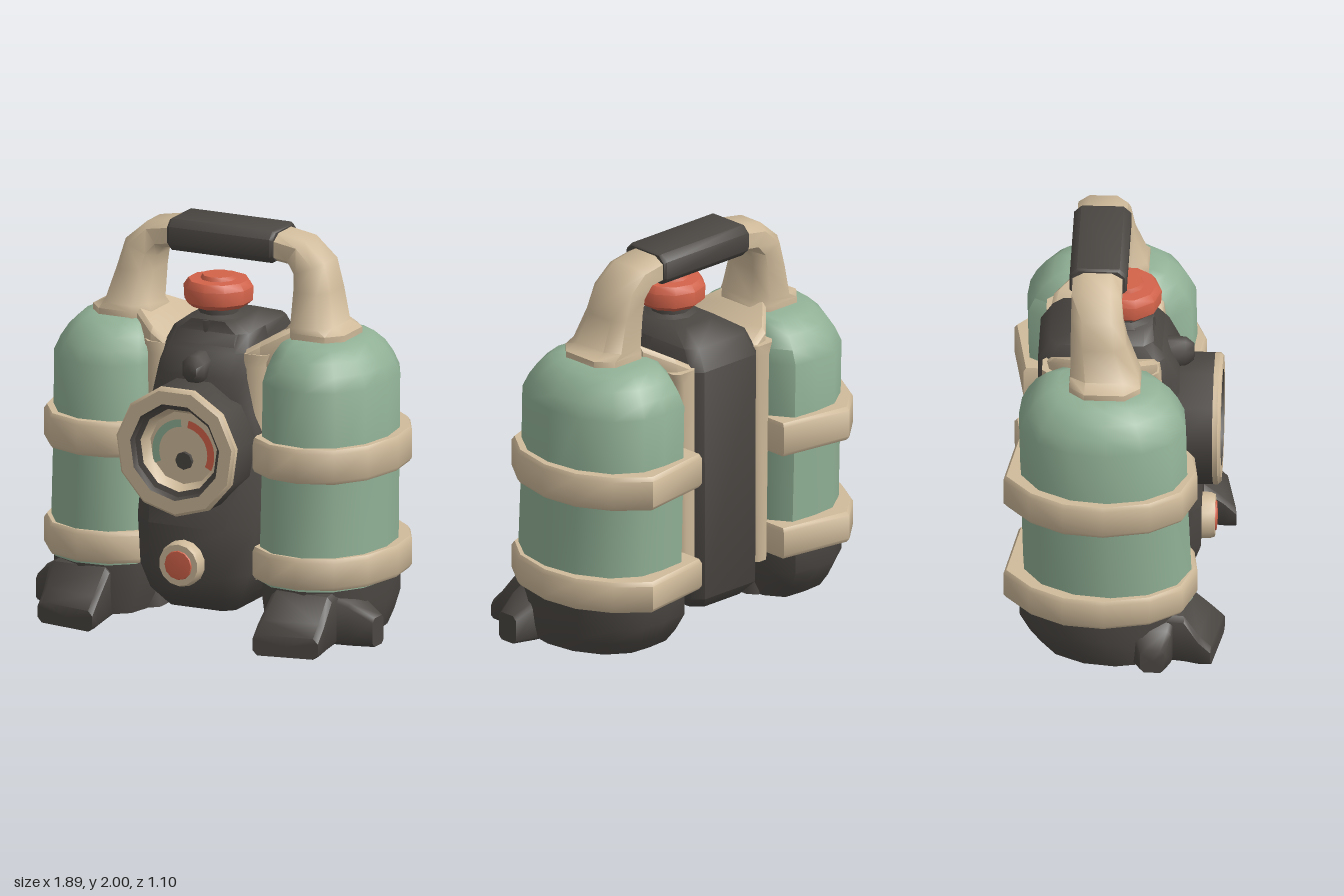
import * as THREE from 'three';
import { toCreasedNormals } from 'three/addons/utils/BufferGeometryUtils.js';

const V = (x, y, z) => new THREE.Vector3(x, y, z);
const mat = (name, color) => Object.assign(new THREE.MeshStandardMaterial({ color }), { name });

// Closed solid through equal-length rings of points, capped at both ends.
function loft(rings, crease = 0.85) {
  const n = rings[0].length, pos = [], idx = [];
  rings.forEach(r => r.forEach(p => pos.push(p.x, p.y, p.z)));
  for (let k = 0; k < rings.length - 1; k++)
    for (let i = 0; i < n; i++) {
      const a = k * n + i, b = k * n + (i + 1) % n;
      idx.push(a, b, a + n, b, b + n, a + n);
    }
  [0, rings.length - 1].forEach((k, e) => {
    const c = rings[k].reduce((s, p) => s.add(p), V(0, 0, 0)).divideScalar(n);
    const ci = pos.length / 3;
    pos.push(c.x, c.y, c.z);
    for (let i = 0; i < n; i++) {
      const a = k * n + i, b = k * n + (i + 1) % n;
      e ? idx.push(ci, a, b) : idx.push(ci, b, a);
    }
  });
  // Turn the faces outward when the enclosed volume comes out negative
  const at = i => V(pos[3 * i], pos[3 * i + 1], pos[3 * i + 2]);
  let vol = 0;
  for (let i = 0; i < idx.length; i += 3) vol += at(idx[i]).dot(at(idx[i + 1]).cross(at(idx[i + 2])));
  if (vol < 0) idx.reverse();
  const g = new THREE.BufferGeometry();
  g.setAttribute('position', new THREE.Float32BufferAttribute(pos, 3));
  g.setIndex(idx);
  return toCreasedNormals(g, crease);
}

// Chamfered rectangle as [u, v] pairs
function octagon(u0, u1, v0, v1, c) {
  return [[u0 + c, v0], [u1 - c, v0], [u1, v0 + c], [u1, v1 - c],
    [u1 - c, v1], [u0 + c, v1], [u0, v1 - c], [u0, v0 + c]];
}
// Stacked chamfered rectangles: rows of [y, halfWidth, zBack, zFront, chamfer]
const stack = rows => loft(rows.map(([y, h, z0, z1, c]) =>
  octagon(-h, h, z0, z1, c).map(([x, z]) => V(x, y, z))));
// Outline scaled about a pivot at each level: rows of [y, scale, shift in z]
const column = (outline, s, rows, px = 0.5, pz = -0.07) => loft(rows.map(([y, k, dz = 0]) =>
  outline.map(([x, z]) => V(s * (px + (x - px) * k), y, pz + (z - pz) * k + dz))));

const TANK = [[0.31, -0.36], [0.38, -0.47], [0.52, -0.48], [0.65, -0.47], [0.78, -0.38], [0.865, -0.22],
  [0.89, -0.04], [0.855, 0.14], [0.76, 0.28], [0.62, 0.345], [0.45, 0.33], [0.34, 0.24], [0.31, 0.1]];
const BAND = [[0.28, -0.49], [0.67, -0.55], [0.82, -0.42], [0.915, -0.25], [0.94, -0.05],
  [0.89, 0.18], [0.78, 0.335], [0.6, 0.4], [0.44, 0.38], [0.31, 0.29], [0.28, 0.1]];
// Handle sections: outer x, y, inner x, y, back z, front z
const HANDLE = [[0.69, 1.48, 0.37, 1.48, -0.23, 0.12], [0.69, 1.53, 0.37, 1.53, -0.23, 0.12],
  [0.625, 1.56, 0.39, 1.555, -0.225, 0.11], [0.585, 1.72, 0.384, 1.72, -0.225, 0.05],
  [0.545, 1.86, 0.376, 1.79, -0.225, 0.03], [0.43, 1.96, 0.345, 1.835, -0.225, 0.02],
  [0.26, 1.99, 0.26, 1.845, -0.225, 0.02]];

export function createModel() {
  const root = new THREE.Group();
  root.name = 'twinTankPack';
  const beige = mat('beige', 0xcfba9a), green = mat('sageGreen', 0x90b095);
  const dark = mat('charcoal', 0x4b4743), red = mat('coralRed', 0xd3634a);
  const add = (name, geo, m, parent = root) => {
    const mesh = new THREE.Mesh(geo, m);
    mesh.name = name;
    parent.add(mesh);
    return mesh;
  };
  const lathe = (pts, seg) => toCreasedNormals(
    new THREE.LatheGeometry(pts.map(p => new THREE.Vector2(...p)), seg), 0.75);

  // Central body: spine at the back, wider housing at the front
  add('spine', stack([[0.13, 0.17, -0.34, 0.1, 0.05], [0.2, 0.22, -0.4, 0.2, 0.05],
    [1.4, 0.225, -0.4, 0.24, 0.05], [1.5, 0.205, -0.34, 0.17, 0.05], [1.555, 0.13, -0.18, 0.16, 0.04]]), dark);
  add('frontHousing', stack([[0.12, 0.19, -0.2, 0.28, 0.05], [0.2, 0.25, -0.22, 0.36, 0.07],
    [0.32, 0.3, -0.22, 0.4, 0.1], [0.56, 0.325, -0.2, 0.4, 0.12], [0.7, 0.33, -0.1, 0.34, 0.1],
    [1.0, 0.32, -0.1, 0.3, 0.07], [1.15, 0.275, -0.1, 0.3, 0.07], [1.3, 0.24, -0.1, 0.29, 0.06],
    [1.42, 0.23, -0.1, 0.23, 0.05], [1.5, 0.205, -0.1, 0.16, 0.04]]), dark);
  add('frontNub', loft([[0.2, 0.062, 1.24, 1.42], [0.32, 0.06, 1.27, 1.41], [0.36, 0.035, 1.3, 1.38]]
    .map(([z, h, y0, y1]) => octagon(-h, h, y0, y1, h * 0.6).map(([x, y]) => V(x, y, z))), 1.0), dark);

  // Valve on top
  const valve = new THREE.Group();
  valve.name = 'valve';
  valve.position.set(-0.008, 0, 0.028);
  root.add(valve);
  add('valveNeck', lathe([[0.15, 1.46], [0.14, 1.55], [0.1, 1.57], [0.095, 1.63]], 10), dark, valve);
  add('valveKnob', lathe([[0, 1.605], [0.14, 1.605], [0.17, 1.63], [0.174, 1.7], [0.15, 1.735],
    [0.09, 1.737], [0.08, 1.757], [0, 1.757]], 10), red, valve);

  // Gauge facing forward
  const gauge = new THREE.Group();
  gauge.name = 'gauge';
  gauge.position.set(-0.012, 0.962, 0);
  root.add(gauge);
  const rings = [
    ['gaugeCollar', [[0.31, 0.2], [0.33, 0.28], [0.33, 0.46]], dark],
    ['gaugeRim', [[0.33, 0.46], [0.33, 0.485], [0.315, 0.5], [0.247, 0.5]], beige],
    ['gaugeInnerRing', [[0.247, 0.5], [0.237, 0.465], [0.212, 0.455]], dark],
    ['gaugeDish', [[0.212, 0.455], [0.185, 0.4], [0, 0.4]], beige]];
  for (const [name, pts, m] of rings) add(name, lathe(pts, 11).rotateX(Math.PI / 2), m, gauge);
  const arc = (name, start, length, m) =>
    add(name, new THREE.RingGeometry(0.132, 0.17, 16, 1, start, length), m, gauge).position.set(0, -0.025, 0.406);
  arc('greenArc', 1.65, 1.9, green);
  arc('redArc', -0.45, 1.85, red);
  add('gaugeHub', new THREE.CylinderGeometry(0.045, 0.045, 0.02, 8).rotateX(Math.PI / 2), dark, gauge)
    .position.set(0.008, -0.062, 0.41);

  // Button below the gauge
  const button = new THREE.Group();
  button.name = 'button';
  button.position.set(-0.01, 0.38, 0);
  root.add(button);
  add('buttonRing', lathe([[0.115, 0.36], [0.115, 0.44], [0.105, 0.465], [0, 0.465]], 14).rotateX(Math.PI / 2), beige, button);
  add('buttonCap', lathe([[0.077, 0.46], [0.072, 0.472], [0, 0.478]], 12).rotateX(Math.PI / 2), red, button);

  // Grip across the handle
  add('grip', loft([-0.29, -0.275, 0.275, 0.29].map((x, i) => {
    const d = i % 3 ? 0 : 0.008;
    return octagon(1.84 + d, 2 - d, -0.24 + d, 0.04 - d, 0.035).map(([y, z]) => V(x, y, z));
  })), dark);

  for (const s of [1, -1]) {
    const side = new THREE.Group();
    side.name = s > 0 ? 'leftSide' : 'rightSide';
    root.add(side);

    // Tank leaning slightly forward at the bottom, with rounded shoulder and two straps
    add('tank', column(TANK, s, [[0.3, 1.01, 0.03], [0.85, 1, 0.01], [1.3, 1], [1.37, 0.92], [1.43, 0.82],
      [1.48, 0.68], [1.5, 0.52]]), green, side);
    for (const [y0, y1] of [[0.31, 0.47], [0.85, 1.025]])
      add('strap', column(BAND, s, [[y0, 0.97], [y0 + 0.02, 1], [y1 - 0.02, 1], [y1, 0.97]]), beige, side);

    // Trim plate between tank and body, with a shoulder sloping up to the handle
    add('trimPlate', loft([[0.28, 0.3], [1.36, 0.32], [1.42, 0.34]].map(([y, x1], i) =>
      octagon(0.19, x1, -0.375, 0.22 - i * 0.01, 0.03).map(([x, z]) => V(s * x, y, z)))), beige, side);
    add('handleShoulder', loft([[0.2, 1.3, 1.425, -0.36, 0.2], [0.3, 1.34, 1.485, -0.34, 0.19],
      [0.42, 1.4, 1.55, -0.22, 0.1]].map(([x, y0, y1, z0, z1]) =>
      octagon(y0, y1, z0, z1, 0.025).map(([y, z]) => V(s * x, y, z)))), beige, side);

    // Curved handle post
    add('handlePost', loft(HANDLE.map(([ox, oy, ix, iy, z0, z1]) =>
      octagon(0, 1, 0, 1, 0.22).map(([u, v]) =>
        V(s * (ix + (ox - ix) * u), iy + (oy - iy) * u, z0 + (z1 - z0) * v))), 1.0), beige, side);

    // Foot with forward toe
    add('footBase', column(TANK, s, [[0.04, 0.87, 0.05], [0.11, 0.94, 0.025], [0.2, 1], [0.34, 1]], 0.6), dark, side);
    const [t0, t1, tip] = s > 0 ? [0.44, 0.77, 0.522] : [0.45, 0.78, 0.502];
    add('frontToe', loft([[0.1, 0.3, 0.04], [0.34, 0.28, 0.015], [tip - 0.06, 0.165, 0], [tip, 0.105, 0]].map(([z, top, bot], i) =>
      octagon(t0, t1, bot, top, 0.025).map(([x, y]) =>
        V(s * x, y, z + (i > 1 ? (x - 0.6) * -0.18 : 0))))), dark, side);
    // Pad at the inner edge
    add('innerPad', loft([[0.04, 0.3, 0.12], [0.14, 0.31, 0.1], [0.3, 0.36, 0.05]].map(([y, x, z1]) =>
      octagon(x, 0.55, -0.25, z1, 0.04).map(([px, z]) => V(s * px, y, z)))), dark, side);

    // Outward toe, longer on the left foot
    const reach = s > 0 ? 0.95 : 0.9;
    add('outerToe', loft([[0.65, 0.3, 0.06, 0.3], [0.83, 0.24, 0.09, 0.28], [reach, 0.17, 0.13, 0.25]].map(([x, top, z0, z1]) =>
      octagon(s > 0 ? 0.025 : 0.04, top, z0, z1, 0.02).map(([y, z]) => V(s * x, y, z)))), dark, side);
  }

  return root;
}
